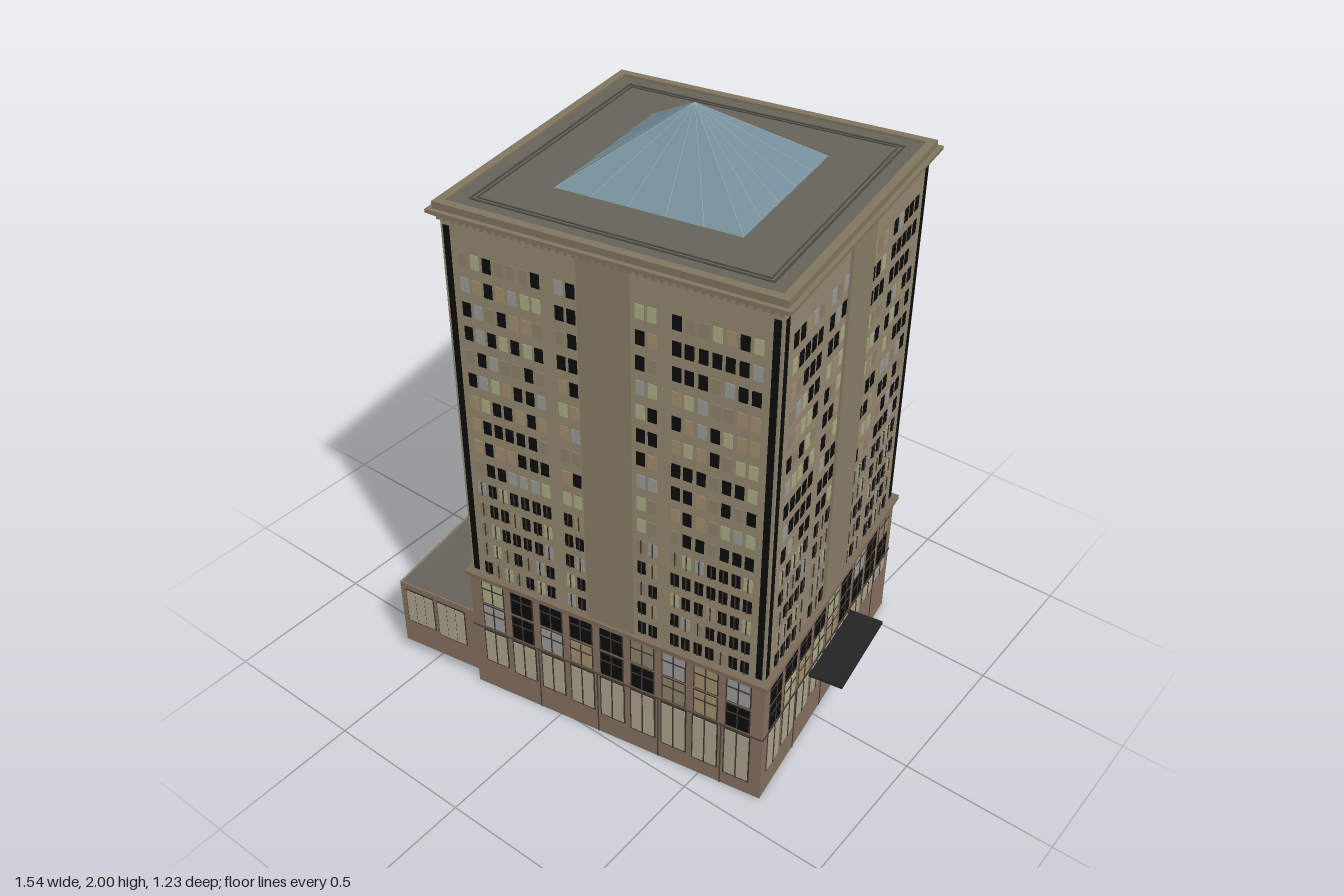
import * as THREE from 'three';
import { mergeGeometries } from 'three/addons/utils/BufferGeometryUtils.js';

const COLORS = {
  baseWalls: 0x84705f, shaftWalls: 0x92866f, pilasters: 0x877b66, beltCourse: 0x7a6a59, cornice: 0x80745f,
  roofDeck: 0x66625a, roofLine: 0x4c4942, annexWalls: 0x84705f, annexRoof: 0x66625a, canopy: 0x242424,
  cornerSlots: 0x0c0c0c, joints: 0x4a3f36, frames: 0x3a342e, mullions: 0x3c362f, shopWindows: 0xaaa18a,
  windowDark: 0x0c0c0c, windowTan: 0xa08c6c, windowGrey: 0x9a9a98, windowOlive: 0xa9a983, windowBrown: 0x8d7f68,
  skylight: 0x748e99, skylightRibs: 0xa0b0b4,
};
const W = 0.52, D = 0.5; // half width and half depth of the tower base
const T = 0.008; // wall thickness

export function createModel() {
  const parts = {};
  const add = (name, geo) => (parts[name] ??= []).push(geo);
  const box = (name, w, h, d, x, y, z, m) => {
    const g = new THREE.BoxGeometry(w, h, d).translate(x, y, z);
    add(name, m ? g.applyMatrix4(m) : g);
  };
  let seed = 7;
  const rnd = () => (seed = (seed * 16807) % 2147483647) / 2147483647;
  const lit = ['windowTan', 'windowGrey', 'windowOlive', 'windowBrown'];
  const pane = (darkShare) => (rnd() < darkShare ? 'windowDark' : lit[Math.floor(rnd() * 4)]);

  // The four faces: outward direction is local +z, u runs along the wall
  const wide = [0.105, 0.142, 0.215, 0.252, 0.293, 0.332, 0.37, 0.409, 0.447];
  const narrow = [0.1, 0.14, 0.18, 0.255, 0.295, 0.335, 0.373, 0.415];
  const faces = [
    { turn: 0, half: W, out: D, cols: wide, bay: 0.109, bottom: 0, sill: (t) => 0.115 - 0.06 * t },
    { turn: Math.PI / 2, half: D, out: W, cols: narrow, bay: 0.105, bottom: 0, sill: (t) => 0.09 + 0.11 * t },
    { turn: Math.PI, half: W, out: D, cols: wide, bay: 0.109, bottom: 0.12, sill: () => 0.205 },
    { turn: -Math.PI / 2, half: D, out: W, cols: narrow, bay: 0.105, bottom: 0, sill: null },
  ];
  for (const f of faces) {
    const m = new THREE.Matrix4().makeRotationY(f.turn);
    const inset = f.out - 0.008;
    const wall = (name, w, y0, y1, out) => box(name, w, y1 - y0, T, 0, (y0 + y1) / 2, out - T / 2, m);
    // walls: hollow, open below
    wall('baseWalls', f.half * 2, f.bottom, 0.48, f.out);
    wall('shaftWalls', f.half * 2 - 0.016, 0.48, 1.77, inset);
    box('pilasters', 0.163, 1.28, 0.018, 0, 1.125, inset, m);

    // dark slots beside the corners, and small windows of the shaft
    for (const s of [-1, 1]) {
      box('cornerSlots', 0.02, 1.23, 0.012, s * (f.half - 0.026), 1.115, inset - 0.004, m);
      for (let r = 0; r < 15; r++) {
        const y = 0.524 + r * 0.0794;
        for (const u of f.cols) {
          box(pane(0.5), 0.027, 0.045, 0.014, s * u, y, inset - 0.005, m);
          if (r < 5) box('mullions', 0.003, 0.05, 0.004, s * u, y, inset + 0.003, m);
        }
      }
    }

    // large windows of the base
    for (let i = -4; i <= 4; i++) {
      const u = i * f.bay;
      for (const y of [0.42, 0.315]) {
        box('frames', 0.084, 0.098, 0.012, u, y, f.out - 0.005, m);
        box(pane(0.3), 0.075, 0.089, 0.016, u, y, f.out - 0.005, m);
        box('mullions', 0.004, 0.089, 0.004, u, y, f.out + 0.003, m);
        box('mullions', 0.075, 0.004, 0.004, u, y + 0.015, f.out + 0.003, m);
      }
      if (!f.sill) continue;
      // street-level windows with sills that follow the slope
      const low = f.sill((i + 4) / 8), h = 0.25 - low, y = (0.25 + low) / 2;
      box('frames', 0.09, h + 0.006, 0.012, u, y, f.out - 0.005, m);
      box('shopWindows', 0.08, h - 0.006, 0.016, u, y, f.out - 0.005, m);
      box('mullions', 0.004, h, 0.004, u, y, f.out + 0.003, m);
    }
    if (f.turn >= 0) {
      box('joints', f.half * 2, 0.005, 0.006, 0, 0.259, f.out, m);
      for (const k of [-2.5, -0.5, 1.5, 3.5])
        box('joints', 0.004, 0.26 - f.bottom, 0.004, k * f.bay, (0.26 + f.bottom) / 2, f.out, m);
    }

    // dentils below the cornice
    const n = 44;
    for (let i = 0; i < n; i++)
      box('cornice', 0.011, 0.012, 0.014, ((i + 0.5) / n - 0.5) * 2 * f.half, 1.756, f.out, m);
  }

  // Rectangular rings: belt course, cornice steps, parapet, roof line
  const ring = (name, hw, hd, t, y0, y1) => {
    const h = y1 - y0, y = (y0 + y1) / 2;
    for (const s of [-1, 1]) {
      box(name, hw * 2, h, t, 0, y, s * (hd - t / 2));
      box(name, t, h, (hd - t) * 2, s * (hw - t / 2), y, 0);
    }
  };
  ring('beltCourse', W + 0.012, D + 0.012, 0.025, 0.474, 0.49);
  ring('cornice', W + 0.01, D + 0.01, 0.03, 1.76, 1.768);
  ring('cornice', W + 0.02, D + 0.02, 0.04, 1.768, 1.779);
  ring('cornice', W + 0.006, D + 0.006, 0.026, 1.779, 1.8);
  box('roofDeck', W * 2, 0.02, D * 2, 0, 1.782, 0);
  ring('roofLine', W - 0.065, D - 0.065, 0.006, 1.79, 1.795);
  ring('roofLine', W - 0.08, D - 0.08, 0.004, 1.79, 1.795);

  // Glass pyramid with fine ribs
  const PW = 0.287, PD = 0.269, PY = 1.793;
  const pyramid = new THREE.ConeGeometry(Math.SQRT2, 2 - PY, 4, 1, true).rotateY(Math.PI / 4);
  pyramid.scale(PW, 1, PD).translate(0, (2 + PY) / 2, 0);
  add('skylight', pyramid.toNonIndexed());
  const rib = (x, z) => {
    const path = new THREE.LineCurve3(new THREE.Vector3(x, PY, z), new THREE.Vector3(0, 1.999, 0));
    add('skylightRibs', new THREE.TubeGeometry(path, 1, 0.0012, 4));
  };
  for (const s of [-1, 1])
    for (const k of [-1, -0.6, -0.2, 0.2, 0.6]) {
      rib(s * PW, s * k * PD);
      rib(-s * k * PW, s * PD);
    }

  // Low annex on the -x side
  const ax0 = -0.815, ax1 = -W, az0 = -0.52, az1 = D, top = 0.31;
  const aw = ax1 - ax0, ad = az1 - az0, ax = (ax0 + ax1) / 2, az = (az0 + az1) / 2;
  box('annexWalls', aw, top - 0.05, T, ax, (top + 0.05) / 2, az1 - T / 2);
  box('annexWalls', aw, top - 0.14, T, ax, (top + 0.14) / 2, az0 + T / 2);
  box('annexWalls', T, top - 0.06, ad, ax0 + T / 2, (top + 0.06) / 2, az);
  box('annexRoof', aw - 0.012, 0.01, ad - 0.012, ax + 0.003, top - 0.004, az);
  // front windows, in two groups
  for (const [x, low] of [[-0.738, 0.15], [-0.613, 0.14]]) {
    const h = 0.285 - low, y = (0.285 + low) / 2;
    box('frames', 0.112, h + 0.006, 0.012, x, y, az1 - 0.004);
    for (const k of [-1, 0, 1]) box('shopWindows', 0.033, h - 0.004, 0.016, x + k * 0.036, y, az1 - 0.004);
  }
  // stepped side windows
  for (let i = 0; i < 9; i++) {
    const z = az0 + ad * (i + 0.5) / 9, low = 0.25 - 0.011 * i, h = 0.285 - low, y = (0.285 + low) / 2;
    box('cornerSlots', 0.012, h, 0.092, ax0 + 0.004, y, z);
    for (const k of [-1, 1]) box('windowBrown', 0.015, h - 0.016, 0.034, ax0 + 0.004, y, z + k * 0.021);
  }
  box('cornerSlots', 0.14, 0.035, 0.012, ax, 0.255, az0 + 0.004);

  // Entrance canopy on the +x side
  box('canopy', 0.116, 0.01, 0.335, W + 0.058, 0.238, 0);
  ring.call(null, 'beltCourse', 0, 0, 0, 0, 0);
  for (let i = 0; i < 6; i++) box('canopy', 0.11, 0.012, 0.008, W + 0.055, 0.23, -0.15 + i * 0.06);

  const building = new THREE.Group();
  building.name = 'building';
  for (const [name, list] of Object.entries(parts)) {
    const mesh = new THREE.Mesh(mergeGeometries(list), new THREE.MeshStandardMaterial({ color: COLORS[name] }));
    if (name === 'skylight') {
      mesh.geometry.computeVertexNormals();
      mesh.material.side = THREE.DoubleSide;
    }
    mesh.name = name;
    building.add(mesh);
  }
  building.rotation.y = 0.163;
  building.position.set(0.115, 0, -0.015);

  const model = new THREE.Group();
  model.name = 'highRise';
  model.add(building);
  return model;
}
